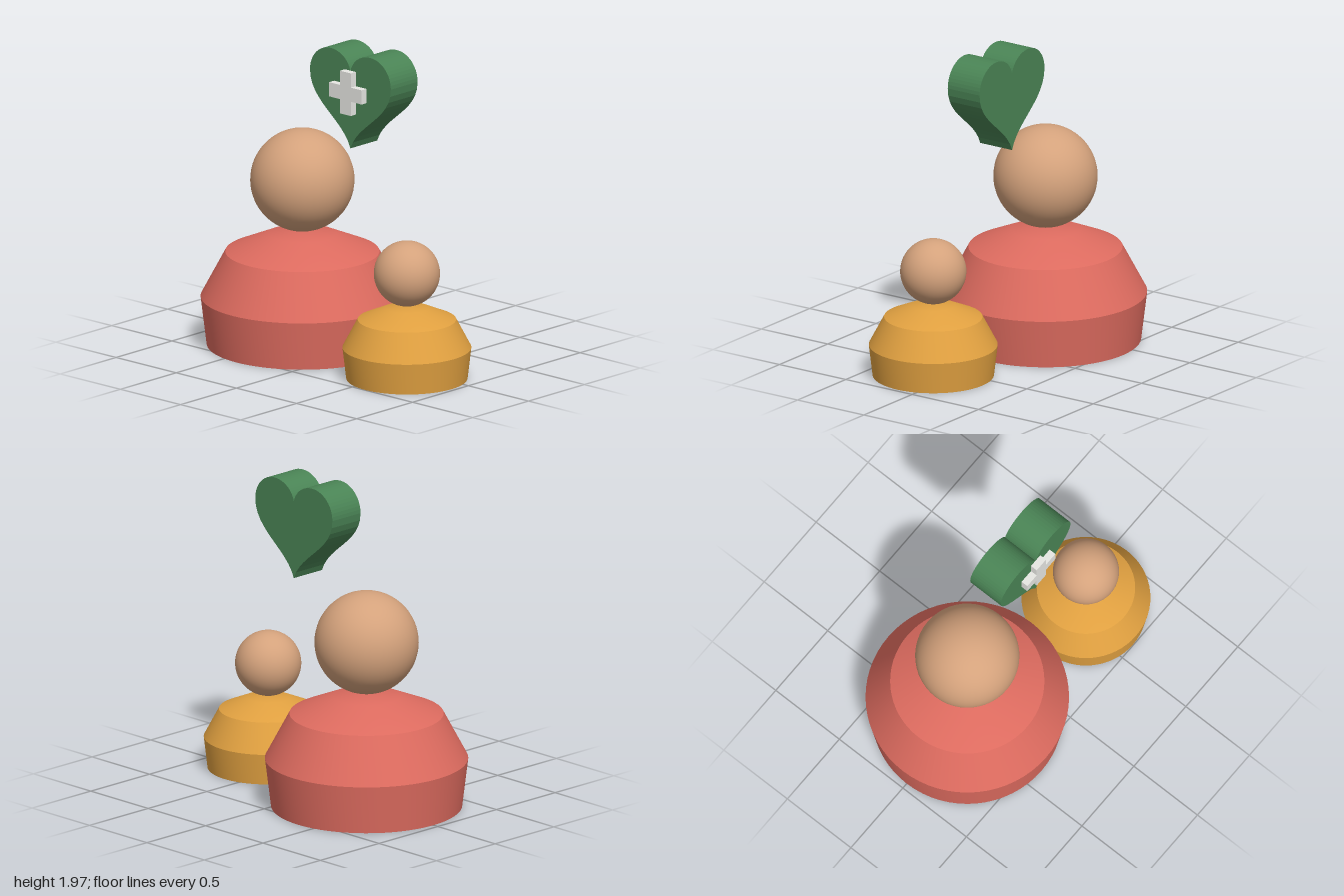
import * as THREE from 'three';
import { toCreasedNormals } from 'three/addons/utils/BufferGeometryUtils.js';

const material = (name, color) => {
  const m = new THREE.MeshStandardMaterial({ color });
  m.name = name;
  return m;
};

function part(name, geometry, mat, x, y, z) {
  const mesh = new THREE.Mesh(geometry, mat);
  mesh.name = name;
  mesh.position.set(x, y, z);
  return mesh;
}

// Bust: ball head above a turned body with sharp shoulder and waist edges
function createFigure(name, profile, headRadius, headY, bodyMat, skin) {
  const figure = new THREE.Group();
  figure.name = name;
  const points = profile.map(([r, y]) => new THREE.Vector2(r, y));
  const body = toCreasedNormals(new THREE.LatheGeometry(points, 64), 0.5);
  figure.add(part('body', body, bodyMat, 0, 0, 0));
  figure.add(part('head', new THREE.SphereGeometry(headRadius, 48, 32), skin, 0, headY, 0));
  return figure;
}

// Heart outline, origin at the tip
function heartShape() {
  const s = new THREE.Shape();
  s.moveTo(0, 0);
  s.bezierCurveTo(0.06, 0.17, 0.336, 0.24, 0.336, 0.437);
  s.bezierCurveTo(0.336, 0.53, 0.26, 0.605, 0.165, 0.605);
  s.bezierCurveTo(0.08, 0.605, 0.015, 0.555, 0, 0.488);
  s.bezierCurveTo(-0.015, 0.555, -0.08, 0.605, -0.165, 0.605);
  s.bezierCurveTo(-0.26, 0.605, -0.336, 0.53, -0.336, 0.437);
  s.bezierCurveTo(-0.336, 0.24, -0.06, 0.17, 0, 0);
  return s;
}

// Plus sign with arm reach r and half width w
function crossShape(r, w) {
  return new THREE.Shape([
    [w, -r], [w, -w], [r, -w], [r, w], [w, w], [w, r],
    [-w, r], [-w, w], [-r, w], [-r, -w], [-w, -w], [-w, -r],
  ].map(([x, y]) => new THREE.Vector2(x, y)));
}

export function createModel() {
  const model = new THREE.Group();
  model.name = 'familyCare';
  const skin = material('skin', 0xd4a27c);
  const red = material('coralRed', 0xdd6b5f);
  const amber = material('amber', 0xe0a040);
  const green = material('green', 0x4a8455);
  const white = material('offWhite', 0xe8e8e4);

  const adult = createFigure('adult',
    [[0, 0], [0.583, 0], [0.62, 0.303], [0.47, 0.586], [0.21, 0.698], [0, 0.716]],
    0.318, 1.039, red, skin);
  adult.position.set(-0.38, 0, 0);

  const child = createFigure('child',
    [[0, 0], [0.37, 0], [0.393, 0.195], [0.3, 0.372], [0.132, 0.446], [0, 0.456]],
    0.202, 0.662, amber, skin);
  child.position.set(0.607, 0, 0.127);

  // Floating heart with a raised cross on its front
  const emblem = new THREE.Group();
  emblem.name = 'careHeart';
  const heart = new THREE.ExtrudeGeometry(heartShape(),
    { depth: 0.24, bevelEnabled: false, curveSegments: 12 });
  const cross = new THREE.ExtrudeGeometry(crossShape(0.135, 0.045),
    { depth: 0.045, bevelEnabled: false });
  emblem.add(part('heart', heart, green, 0, 0, -0.12));
  emblem.add(part('cross', cross, white, 0, 0.358, 0.12));
  emblem.position.set(0.131, 1.36, 0);

  model.add(adult, child, emblem);
  return model;
}
